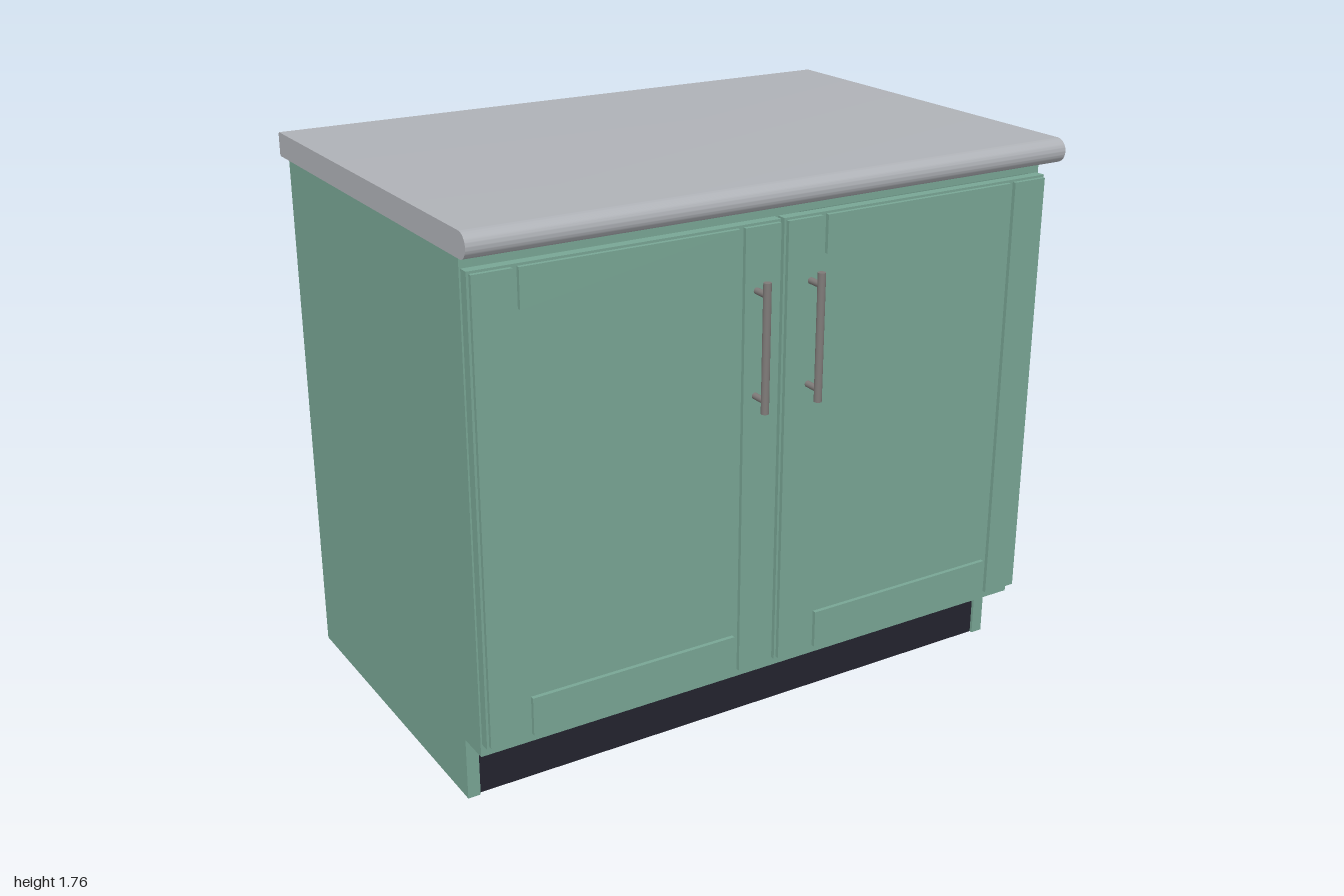
import * as THREE from 'three';
import { toCreasedNormals } from 'three/addons/utils/BufferGeometryUtils.js';

const material = (name, color) => {
  const m = new THREE.MeshStandardMaterial({ color });
  m.name = name;
  return m;
};

export function createModel() {
  const model = new THREE.Group();
  model.name = 'baseCabinet';
  const green = material('sage green paint', 0x78a594);
  const grey = material('grey worktop', 0xaeb1b6);
  const dark = material('dark plinth', 0x23232e);
  const metal = material('handle metal', 0x7e7a78);

  const add = (parent, name, geometry, mat) => {
    const mesh = new THREE.Mesh(geometry, mat);
    mesh.name = name;
    parent.add(mesh);
    return mesh;
  };
  // Box given by its lower and upper limits on each axis
  const box = (parent, name, mat, [x0, x1], [y0, y1], [z0, z1]) => {
    const mesh = add(parent, name, new THREE.BoxGeometry(x1 - x0, y1 - y0, z1 - z0), mat);
    mesh.position.set((x0 + x1) / 2, (y0 + y1) / 2, (z0 + z1) / 2);
    return mesh;
  };
  // Profile drawn in (z, y), extruded along x and centred on x
  const extrudeX = (shape, width) => {
    const g = new THREE.ExtrudeGeometry(shape, { depth: width, bevelEnabled: false, curveSegments: 16 });
    g.translate(0, 0, -width / 2);
    g.rotateY(-Math.PI / 2);
    return toCreasedNormals(g, 0.5);
  };

  // Side panels with a toe-kick notch
  const sideShape = new THREE.Shape([
    [-0.66, 0], [0.47, 0], [0.47, 0.2], [0.575, 0.2], [0.575, 1.69], [-0.66, 1.69],
  ].map(([z, y]) => new THREE.Vector2(z, y)));
  for (const s of [-1, 1]) {
    add(model, s > 0 ? 'leftSidePanel' : 'rightSidePanel', extrudeX(sideShape, 0.04), green)
      .position.x = s * 0.96;
  }

  // Carcass between the sides
  const inner = [-0.94, 0.94];
  box(model, 'bottomPanel', green, inner, [0.2, 0.24], [-0.62, 0.575]);
  box(model, 'topPanel', green, inner, [1.65, 1.69], [-0.62, 0.575]);
  box(model, 'backPanel', green, inner, [0.235, 1.655], [-0.66, -0.62]);
  box(model, 'plinth', dark, inner, [0, 0.2], [-0.62, 0.46]);

  // Worktop with a fully rounded front edge and softened back edge
  const top = new THREE.Shape();
  top.moveTo(-0.675, 1.69);
  top.lineTo(0.628, 1.69);
  top.absarc(0.628, 1.7275, 0.0375, -Math.PI / 2, Math.PI / 2, false);
  top.lineTo(-0.675, 1.765);
  top.lineTo(-0.68, 1.76);
  top.lineTo(-0.68, 1.695);
  top.closePath();
  add(model, 'worktop', extrudeX(top, 2), grey);

  // Doors with raised stiles and rails, plus bar handles
  for (const s of [-1, 1]) {
    const door = new THREE.Group();
    door.name = s > 0 ? 'leftDoor' : 'rightDoor';
    model.add(door);
    const span = (a, b) => (s > 0 ? [a, b] : [-b, -a]);
    box(door, 'doorSlab', green, span(0.006, 0.975), [0.24, 1.648], [0.575, 0.607]);
    const raised = [0.607, 0.62];
    box(door, 'innerStile', green, span(0.013, 0.132), [0.247, 1.641], raised);
    box(door, 'outerStile', green, span(0.85, 0.968), [0.247, 1.641], raised);
    box(door, 'topRail', green, span(0.15, 0.832), [1.525, 1.641], raised);
    box(door, 'bottomRail', green, span(0.15, 0.832), [0.247, 0.368], raised);

    const handle = new THREE.Group();
    handle.name = 'handle';
    handle.position.set(s * 0.093, 1.297, 0);
    door.add(handle);
    add(handle, 'handleBar', new THREE.CylinderGeometry(0.012, 0.012, 0.392, 20), metal)
      .position.z = 0.673;
    for (const y of [-0.158, 0.158]) {
      const post = add(handle, 'handlePost', new THREE.CylinderGeometry(0.01, 0.01, 0.055, 16), metal);
      post.rotation.x = Math.PI / 2;
      post.position.set(0, y, 0.645);
    }
  }
  return model;
}
